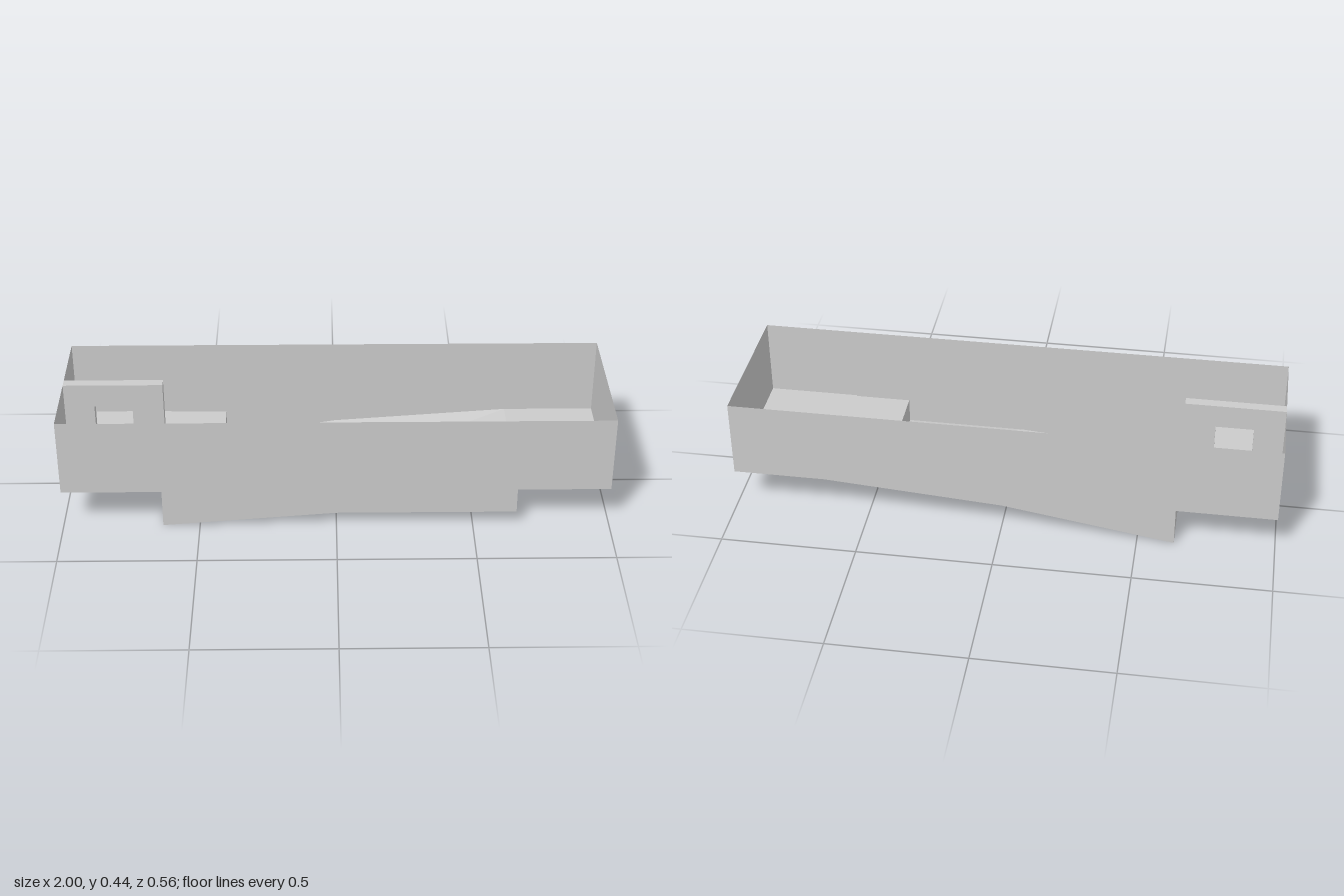
import * as THREE from 'three';
import { ConvexGeometry } from 'three/addons/geometries/ConvexGeometry.js';

const END = 1, DEPTH = 0.28, TOP = 0.44, LEDGE = 0.147;
const DEEP_X = -0.635, SHALLOW_X = 0.66, LOW = 0.05, BACK_MID = 0.1;

const material = new THREE.MeshStandardMaterial({
  color: 0xcccccc, flatShading: true, side: THREE.DoubleSide,
});

export function createModel() {
  const group = new THREE.Group();
  const add = (name, geometry, x = 0, y = 0, z = 0) => {
    const mesh = new THREE.Mesh(geometry, material);
    mesh.name = name;
    mesh.position.set(x, y, z);
    group.add(mesh);
    return mesh;
  };
  const shapeOf = (pts) => new THREE.Shape(pts.map(([x, y]) => new THREE.Vector2(x, y)));

  // Surface from three- or four-cornered faces; four corners fan about their middle
  const surface = (faces) => {
    const pos = [];
    for (const f of faces) {
      if (f.length === 3) { pos.push(...f.flat()); continue; }
      const mid = [0, 1, 2].map((k) => f.reduce((s, p) => s + p[k], 0) / 4);
      f.forEach((p, i) => pos.push(...p, ...f[(i + 1) % 4], ...mid));
    }
    const g = new THREE.BufferGeometry();
    g.setAttribute('position', new THREE.Float32BufferAttribute(pos, 3));
    g.computeVertexNormals();
    return g;
  };

  // Long thin side walls, whose lower edges follow the basin floor
  const sideWall = (name, z, lowerEdge) => add(name, new THREE.ShapeGeometry(shapeOf([
    [-END, TOP], [-END, LEDGE], [DEEP_X, LEDGE], [DEEP_X, 0],
    ...lowerEdge, [SHALLOW_X, LEDGE], [END, LEDGE], [END, TOP],
  ])), 0, 0, z);
  sideWall('frontWall', DEPTH, [[0, LOW], [SHALLOW_X, LOW]]);
  sideWall('backWall', -DEPTH, [[0, BACK_MID]]);

  // End walls
  for (const [name, s] of [['rightEndWall', -1], ['leftEndWall', 1]]) {
    const wall = add(name, new THREE.PlaneGeometry(2 * DEPTH, TOP - LEDGE),
      s * END, (TOP + LEDGE) / 2, 0);
    wall.rotation.y = s * Math.PI / 2;
  }

  // Raised ledges at both ends
  const ledge = (x0, x1) => surface([[
    [x0, LEDGE, DEPTH], [x1, LEDGE, DEPTH], [x1, LEDGE, -DEPTH], [x0, LEDGE, -DEPTH]]]);
  add('rightLedge', ledge(-END, DEEP_X));
  add('leftLedge', ledge(SHALLOW_X, END));

  // Sunken floor: front, middle and back points at three stations
  const station = (x, yFront, yMid, yBack) => [[x, yFront, DEPTH], [x, yMid, 0], [x, yBack, -DEPTH]];
  const deep = station(DEEP_X, 0, 0, 0);
  const mid = station(0, LOW, LOW, BACK_MID);
  const shallow = station(SHALLOW_X, LOW, LEDGE, LEDGE);
  add('basinFloor', surface([
    [deep[0], mid[0], mid[1], deep[1]],
    [deep[1], mid[1], mid[2], deep[2]],
    [mid[0], shallow[0], shallow[1], mid[1]],
    [mid[1], shallow[1], shallow[2]],
    [mid[1], shallow[2], mid[2]],
  ]));

  // Upright faces between the ledges and the floor
  add('deepStep', surface([[
    deep[0], deep[2], [DEEP_X, LEDGE, -DEPTH], [DEEP_X, LEDGE, DEPTH]]]));
  add('shallowStep', surface([[shallow[0], [SHALLOW_X, LEDGE, DEPTH], shallow[1]]]));

  // Corner blocks level with the ledges, with undersides resting on the floor;
  // each corner is x, z and floor height
  const block = (name, corners) => add(name, new ConvexGeometry(corners.flatMap(([x, z, y]) => [
    new THREE.Vector3(x, y, z), new THREE.Vector3(x, LEDGE, z)])));
  block('deepBlock', [
    [DEEP_X, -0.275, 0.002], [DEEP_X, -0.105, 0.002], [-0.42, -0.105, 0.025], [-0.42, -0.275, 0.034]]);
  block('shallowBlock', [
    [0.45, 0.275, 0.052], [SHALLOW_X, 0.275, 0.053], [SHALLOW_X, 0.105, 0.111], [0.45, 0.105, 0.095]]);

  // Partition with a doorway on the right ledge
  const partition = shapeOf([
    [-END, LEDGE], [-0.89, LEDGE], [-0.89, 0.35], [-0.75, 0.35],
    [-0.75, LEDGE], [DEEP_X, LEDGE], [DEEP_X, TOP], [-END, TOP]]);
  add('partition', new THREE.ExtrudeGeometry(partition, { depth: 0.037, bevelEnabled: false }), 0, 0, -0.022);

  // Drain disc under the left ledge
  add('drain', new THREE.CylinderGeometry(0.03, 0.03, 0.007, 32), 0.85, LEDGE - 0.0035, -0.145);

  return group;
}
